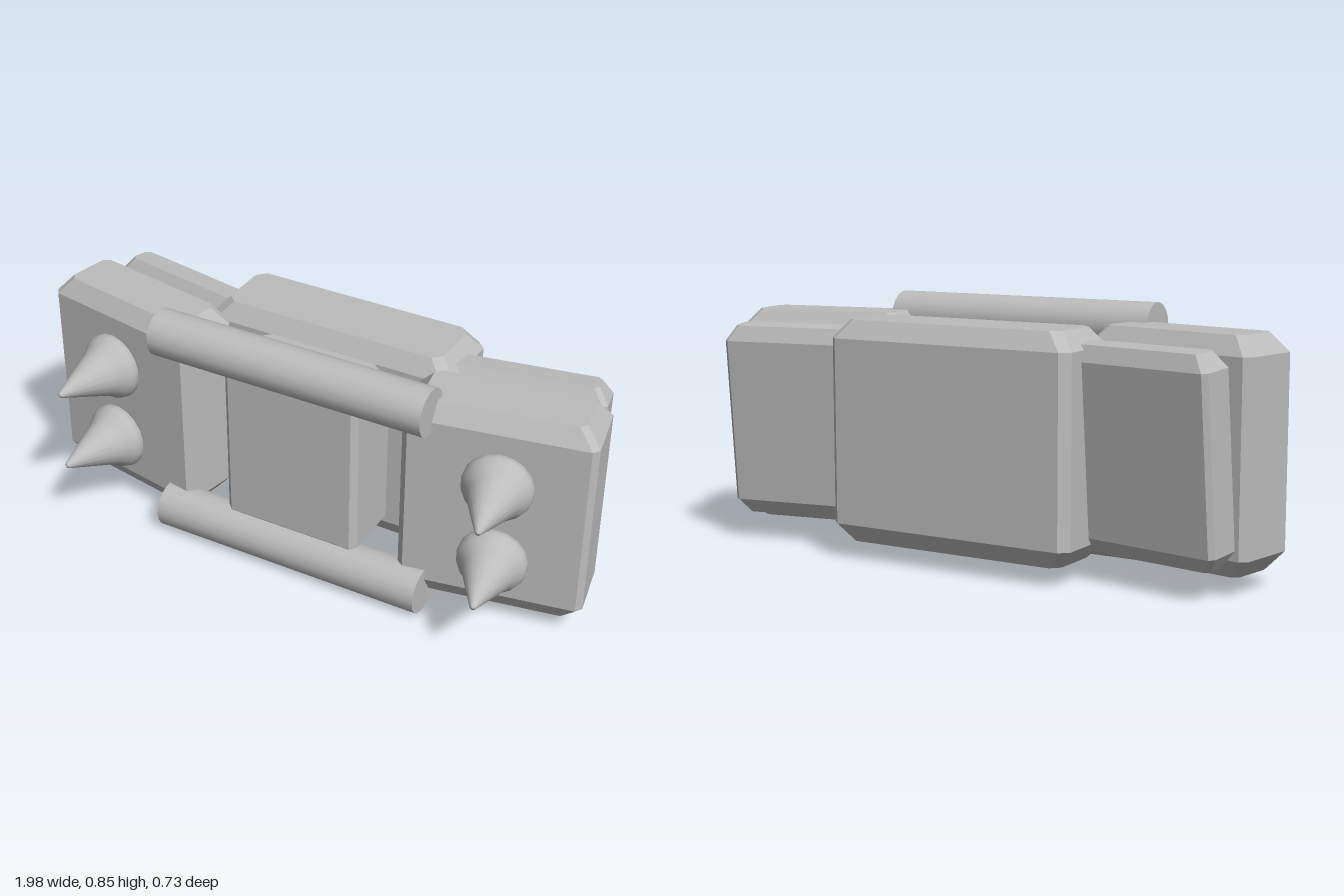
import * as THREE from 'three';
import { ConvexGeometry } from 'three/addons/geometries/ConvexGeometry.js';

const steel = new THREE.MeshStandardMaterial({ color: 0xbcbcbc });
steel.name = 'grey steel';

// Box with cut vertical edges (c) and tapered top and bottom (inset dx, dz over height v)
function bevelBlock(w, h, d, { c = 0.02, dx = 0.05, dz = 0.035, v = 0.06 } = {}) {
  const points = [];
  const ring = (hx, hz, y) => {
    for (const sx of [-1, 1]) for (const sz of [-1, 1]) {
      points.push(new THREE.Vector3(sx * hx, y, sz * (hz - c)));
      points.push(new THREE.Vector3(sx * (hx - c), y, sz * hz));
    }
  };
  for (const s of [-1, 1]) {
    ring(w / 2, d / 2, s * (h / 2 - v));
    ring(w / 2 - dx, d / 2 - dz, s * h / 2);
  }
  return new ConvexGeometry(points);
}

export function createModel() {
  const model = new THREE.Group();
  model.name = 'spikedBumper';
  const add = (name, geometry, x, y, z, rx = 0, ry = 0) => {
    const mesh = new THREE.Mesh(geometry, steel);
    mesh.name = name;
    mesh.position.set(x, y, z);
    mesh.rotation.set(rx, ry, 0, 'YXZ');
    model.add(mesh);
  };

  // Central blocks
  add('backBlock', bevelBlock(0.89, 0.73, 0.29, { c: 0.03 }), 0, 0.425, -0.22);
  add('centrePanel', bevelBlock(0.49, 0.63, 0.245, { c: 0.02, dx: 0.035, dz: 0.02, v: 0.05 }), 0, 0.425, 0.042);

  // Horizontal bars
  const bar = new THREE.CylinderGeometry(0.08, 0.08, 0.98, 18).rotateZ(Math.PI / 2);
  add('lowerBar', bar, 0, 0.08, 0.145);
  add('upperBar', bar, 0, 0.77, 0.145);

  // Spike with a flared foot, pointing forward
  const profile = [[0, 0], [0.105, 0], [0.115, 0.012], [0.115, 0.03], [0.108, 0.048],
    [0.093, 0.068], [0.082, 0.088], [0.01, 0.262], [0, 0.267]];
  const spike = new THREE.LatheGeometry(profile.map(p => new THREE.Vector2(...p)), 18).rotateX(Math.PI / 2);

  // Angled side blocks, tilted rear plates and spikes on both sides
  const yaw = 0.183;
  const sideBlock = bevelBlock(0.61, 0.73, 0.242);
  const rearPlate = bevelBlock(0.58, 0.655, 0.13, { c: 0.015, dx: 0.035, dz: 0.025, v: 0.05 });
  for (const [side, s] of [['left', 1], ['right', -1]]) {
    add(side + 'FrontBlock', sideBlock, s * 0.673, 0.425, -0.018, 0, s * yaw);
    add(side + 'RearPlate', rearPlate, s * 0.622, 0.425, -0.215, -0.095, s * yaw);
    add(side + 'LowerSpike', spike, s * 0.708, 0.273, 0.1, 0, s * yaw);
    add(side + 'UpperSpike', spike, s * 0.708, 0.557, 0.1, 0, s * yaw);
  }
  return model;
}
